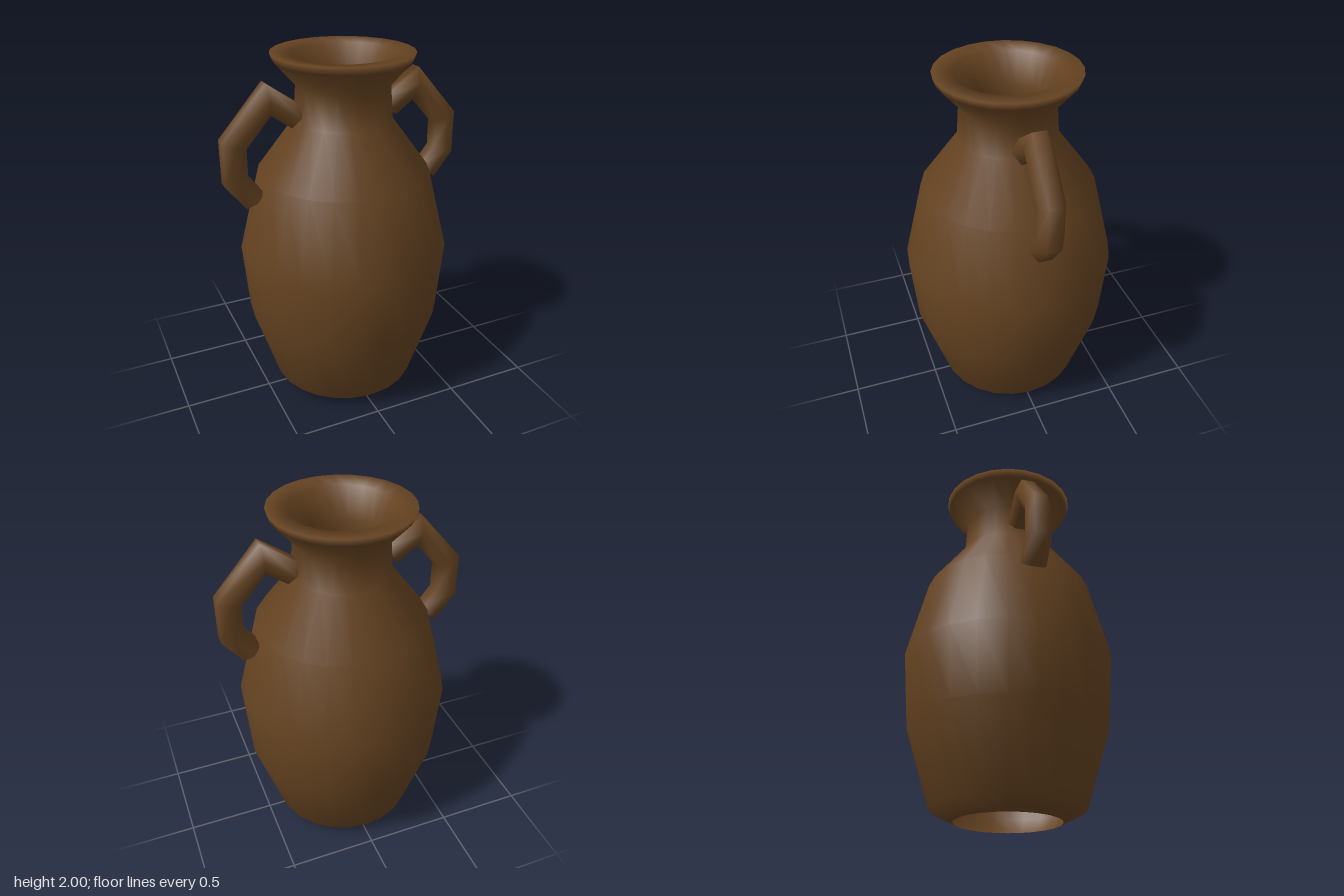
import * as THREE from 'three';

const clay = new THREE.MeshStandardMaterial({ color: 0x654321 });
clay.name = 'brown clay';

// Mitred hexagonal tube along a flat polyline in the xy plane, with end caps
function mitredTube(path, radius, sides = 6) {
  const pts = path.map(([x, y]) => new THREE.Vector2(x, y));
  const pos = [], idx = [];
  const last = pts.length - 1;
  pts.forEach((p, i) => {
    const a = pts[Math.max(i, 1)].clone().sub(pts[Math.max(i, 1) - 1]).normalize();
    const n = Math.min(i, last - 1);
    const b = pts[n + 1].clone().sub(pts[n]).normalize();
    const t = a.clone().add(b).normalize();
    const stretch = 1 / t.dot(a); // keeps the thickness even round a corner
    for (let k = 0; k < sides; k++) {
      const ang = (k / sides) * Math.PI * 2;
      const u = Math.sin(ang) * radius * stretch;
      pos.push(p.x - t.y * u, p.y + t.x * u, Math.cos(ang) * radius);
    }
  });
  for (let i = 0; i < last; i++) {
    for (let k = 0; k < sides; k++) {
      const a = i * sides + k, b = i * sides + (k + 1) % sides;
      idx.push(a, a + sides, b, b, a + sides, b + sides);
    }
  }
  // caps get their own vertices so their edges stay sharp
  for (const ring of [0, last]) {
    const base = pos.length / 3;
    pos.push(...pos.slice(ring * sides * 3, (ring + 1) * sides * 3));
    for (let k = 1; k < sides - 1; k++) {
      if (ring === 0) idx.push(base, base + k, base + k + 1);
      else idx.push(base, base + k + 1, base + k);
    }
  }
  const g = new THREE.BufferGeometry();
  g.setAttribute('position', new THREE.Float32BufferAttribute(pos, 3));
  g.setIndex(idx);
  g.computeVertexNormals();
  return g;
}

export function createModel() {
  const model = new THREE.Group();
  model.name = 'vase';

  // Hollow body: up the outside, over the rim, down the inside to the open base
  const profile = [
    [0.29, 0], [0.42, 0.065], [0.56, 0.51], [0.592, 0.9], [0.48, 1.35],
    [0.27, 1.635], [0.255, 1.83], [0.37, 1.96], [0.384, 2],
    [0.275, 1.99], [0.2, 1.83], [0.215, 1.62], [0.425, 1.33],
    [0.535, 0.9], [0.505, 0.52], [0.37, 0.09], [0.29, 0],
  ].map(([r, y]) => new THREE.Vector2(r, y));
  const body = new THREE.Mesh(new THREE.LatheGeometry(profile, 24), clay);
  body.name = 'body';
  model.add(body);

  // Two angular handles from the neck to the shoulder
  const handlePath = [[0.27, 1.682], [0.43, 1.795], [0.622, 1.575], [0.622, 1.38], [0.525, 1.255]];
  const handleGeometry = mitredTube(handlePath, 0.073);
  for (const [name, turn] of [['leftHandle', 0], ['rightHandle', Math.PI]]) {
    const handle = new THREE.Mesh(handleGeometry, clay);
    handle.name = name;
    handle.rotation.y = turn;
    model.add(handle);
  }
  return model;
}
